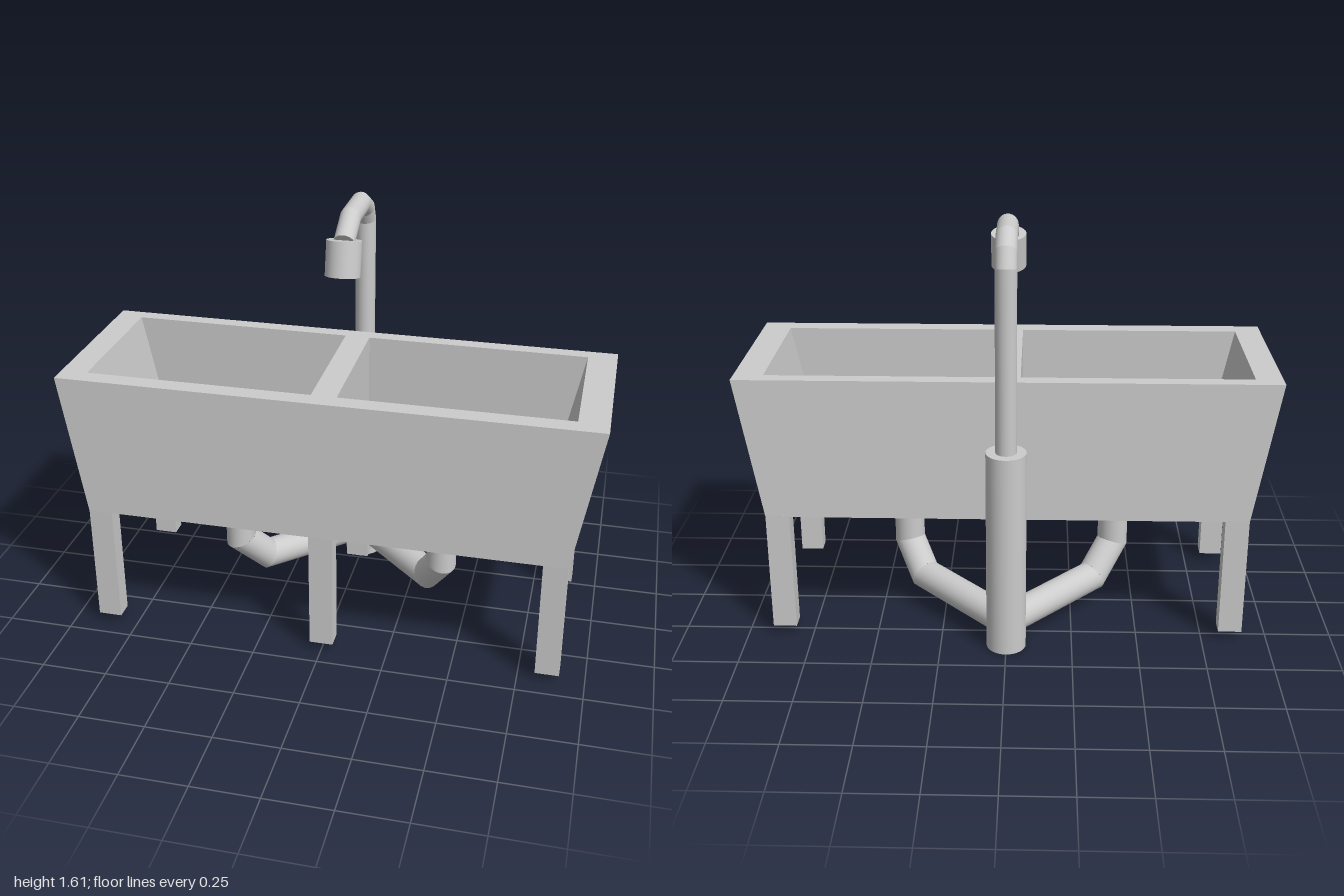
import * as THREE from 'three';

const material = new THREE.MeshStandardMaterial({ color: 0xcccccc });
const V = (x, y, z) => new THREE.Vector3(x, y, z);

function add(parent, name, geometry) {
  const mesh = new THREE.Mesh(geometry, material);
  mesh.name = name;
  parent.add(mesh);
  return mesh;
}

// Corners of a horizontal rectangle, counter-clockwise seen from above
const rect = (x0, x1, z0, z1, y) => [V(x0, y, z1), V(x1, y, z1), V(x1, y, z0), V(x0, y, z0)];

// Flat-shaded geometry from a list of quads
function quads(list) {
  const points = list.flatMap(([a, b, c, d]) => [a, b, c, a, c, d]);
  const g = new THREE.BufferGeometry().setFromPoints(points);
  g.computeVertexNormals();
  return g;
}

// Four walls between a lower and an upper rectangle
function walls(lower, upper, inward) {
  return lower.map((a, i) => {
    const j = (i + 1) % 4;
    const q = [a, lower[j], upper[j], upper[i]];
    return inward ? q.reverse() : q;
  });
}

// Round pipe along a polyline, with mitred joints
function pipe(parent, name, points, radius, sides = 24) {
  const group = new THREE.Group();
  group.name = name;
  parent.add(group);
  const dirs = points.slice(1).map((p, i) => p.clone().sub(points[i]).normalize());
  dirs.forEach((dir, i) => {
    const a = points[i], b = points[i + 1];
    const first = i === 0, last = i === dirs.length - 1;
    const geo = new THREE.CylinderGeometry(radius, radius, a.distanceTo(b), sides, 1, !(first || last));
    geo.applyQuaternion(new THREE.Quaternion().setFromUnitVectors(V(0, 1, 0), dir));
    const mid = a.clone().add(b).multiplyScalar(0.5);
    geo.translate(mid.x, mid.y, mid.z);
    // Slide each end ring along the axis onto its mitre plane
    const startNormal = first ? dir : dirs[i - 1].clone().add(dir);
    const endNormal = last ? dir : dirs[i + 1].clone().add(dir);
    const pos = geo.attributes.position, v = V(0, 0, 0);
    for (let k = 0; k < pos.count; k++) {
      v.fromBufferAttribute(pos, k);
      const atEnd = v.clone().sub(mid).dot(dir) > 0;
      const n = atEnd ? endNormal : startNormal;
      const t = (atEnd ? b : a).clone().sub(v).dot(n) / dir.dot(n);
      v.addScaledVector(dir, t);
      pos.setXYZ(k, v.x, v.y, v.z);
    }
    add(group, name + 'Section', geo);
  });
}

export function createModel() {
  const model = new THREE.Group();
  model.name = 'doubleSink';

  const top = 1.04, bottom = 0.5, floor = 0.52;

  // Tub shell, flaring outward at the ends
  const outerLow = rect(-0.905, 0.905, -0.285, 0.425, bottom);
  const outerHigh = rect(-1, 1, -0.27, 0.41, top);
  add(model, 'tubShell', quads([...walls(outerLow, outerHigh, false), [...outerLow].reverse()]));

  // Rim with two openings, and the basins below them
  const rim = new THREE.Shape(outerHigh.map(p => new THREE.Vector2(p.x, -p.z)));
  for (const [side, high, low] of [
    ['right', [-0.9, -0.05], [-0.795, -0.05]],
    ['left', [0.045, 0.89], [0.045, 0.785]],
  ]) {
    const open = rect(...high, -0.215, 0.34, top);
    const base = rect(...low, -0.215, 0.34, floor);
    rim.holes.push(new THREE.Path(open.map(p => new THREE.Vector2(p.x, -p.z))));
    add(model, side + 'Basin', quads([...walls(base, open, true), base]));
  }
  const rimGeo = new THREE.ShapeGeometry(rim);
  rimGeo.rotateX(-Math.PI / 2);
  rimGeo.translate(0, top, 0);
  add(model, 'rim', rimGeo);

  // Six legs
  for (const x of [-0.86, 0, 0.86]) {
    for (const [name, z] of [['frontLeg', 0.39], ['backLeg', -0.251]]) {
      add(model, name, new THREE.BoxGeometry(0.09, 0.475, 0.068)).position.set(x, 0.2675, z);
    }
  }

  // Drains and waste pipes running back to the standpipe
  for (const [side, x, elbowX] of [['right', -0.418, -0.335], ['left', 0.401, 0.335]]) {
    add(model, side + 'Drain', new THREE.CylinderGeometry(0.113, 0.113, 0.108, 32)).position.set(x, 0.469, 0.072);
    pipe(model, side + 'WastePipe', [
      V(x, 0.43, 0.072), V(x, 0.24, 0.072), V(elbowX, 0.12, -0.015), V(0, 0.107, -0.35),
    ], 0.059);
  }

  // Standpipe and gooseneck faucet
  const z = -0.347;
  add(model, 'standpipe', new THREE.CylinderGeometry(0.075, 0.075, 0.8, 32)).position.set(0, 0.4, z);
  pipe(model, 'spout', [
    V(0, 0.78, z), V(0, 1.48, z), V(0, 1.535, -0.318), V(0, 1.572, -0.25),
    V(0, 1.57, -0.078), V(0, 1.507, 0.028),
  ], 0.039);
  pipe(model, 'sprayHead', [V(0, 1.515, 0.025), V(0, 1.387, 0.053)], 0.065, 32);

  return model;
}
